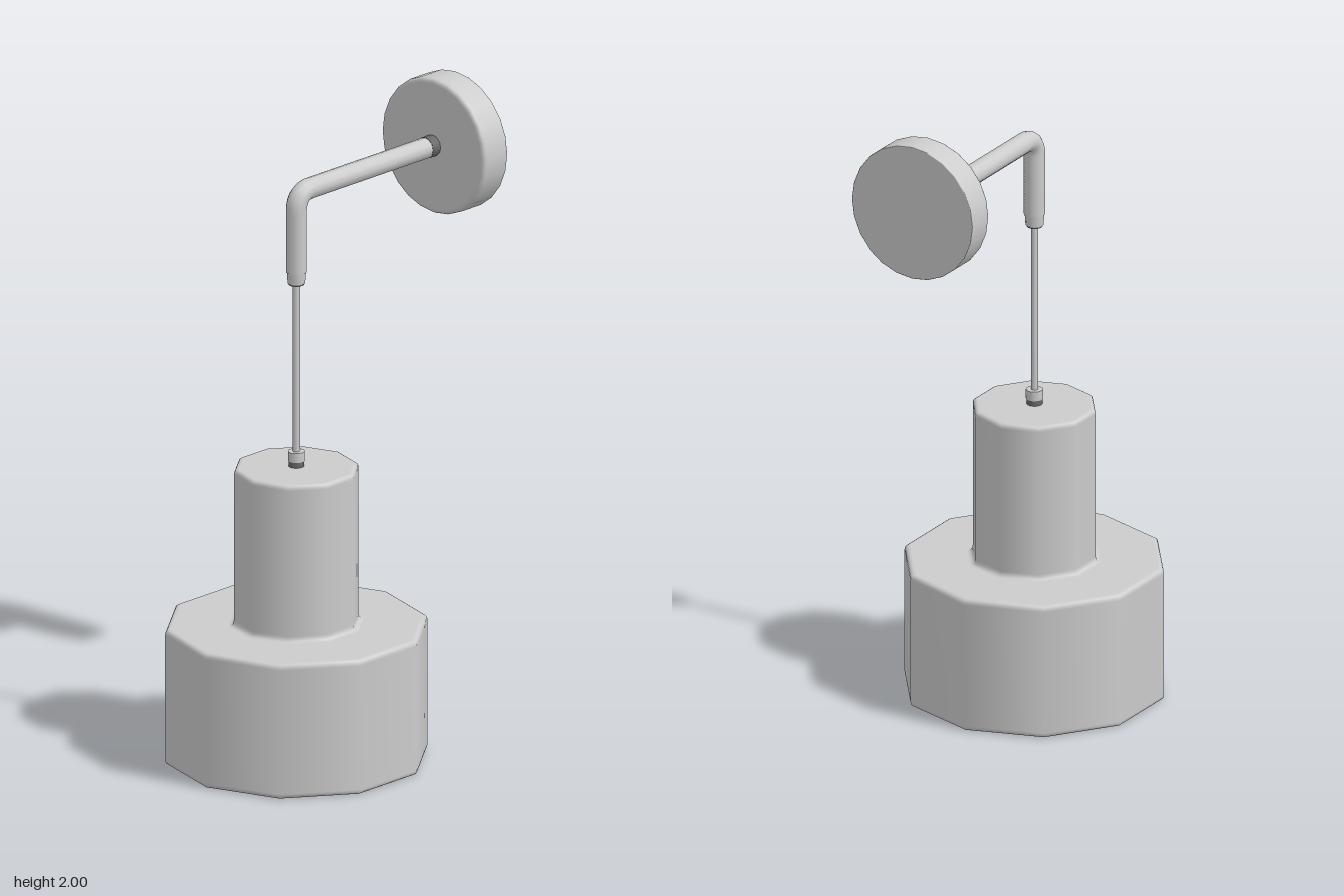
import * as THREE from 'three';

const V = (x, y) => new THREE.Vector2(x, y);

// Profile from [radius, height, cornerRadius] points, rounding the marked corners
function profile(pts) {
  const out = [];
  pts.forEach(([x, y, r], i) => {
    const p = V(x, y);
    if (!r) { out.push(p); return; }
    const toward = (q) => V(q[0], q[1]).sub(p).setLength(r).add(p);
    const curve = new THREE.QuadraticBezierCurve(toward(pts[i - 1]), p, toward(pts[i + 1]));
    out.push(...curve.getPoints(4));
  });
  return out;
}

export function createModel() {
  const model = new THREE.Group();
  const grey = new THREE.MeshStandardMaterial({ color: 0xcccccc });
  grey.name = 'lightGrey';
  const dark = new THREE.MeshStandardMaterial({ color: 0x686868 });
  dark.name = 'darkGrey';
  const amber = new THREE.MeshStandardMaterial({ color: 0xd8a878 });
  amber.name = 'amberGlass';

  const add = (name, geometry, material, x = 0, y = 0, z = 0) => {
    const mesh = new THREE.Mesh(geometry, material);
    mesh.name = name;
    mesh.position.set(x, y, z);
    model.add(mesh);
    return mesh;
  };
  const lathe = (pts, sides) => new THREE.LatheGeometry(profile(pts), sides);
  const LZ = 0.148;    // depth of the hanging lamp axis
  const ARM_Y = 1.79;  // height of the wall arm

  // Round wall plate
  const plate = add('wallPlate', lathe([
    [0, 0], [0.213, 0, 0.003], [0.213, 0.1, 0.016], [0, 0.1],
  ], 24), grey, 0, ARM_Y - 0.003, -0.548);
  plate.rotation.x = Math.PI / 2;

  // Bent arm from plate to cord
  const path = new THREE.CurvePath();
  const P = (y, z) => new THREE.Vector3(0, y, z);
  path.add(new THREE.LineCurve3(P(ARM_Y, -0.46), P(ARM_Y, LZ - 0.06)));
  path.add(new THREE.QuadraticBezierCurve3(P(ARM_Y, LZ - 0.06), P(ARM_Y, LZ), P(ARM_Y - 0.06, LZ)));
  path.add(new THREE.LineCurve3(P(ARM_Y - 0.06, LZ), P(1.54, LZ)));
  add('arm', new THREE.TubeGeometry(path, 90, 0.032, 12), grey);

  const armCollar = add('armCollar', new THREE.CylinderGeometry(0.033, 0.033, 0.035, 12), dark, 0, ARM_Y, -0.433);
  armCollar.rotation.x = Math.PI / 2;

  // Cord with its end fittings
  add('armTip', new THREE.CylinderGeometry(0.03, 0.027, 0.04, 12), grey, 0, 1.525, LZ);
  add('armTipSeal', new THREE.CylinderGeometry(0.024, 0.024, 0.006, 12), dark, 0, 1.503, LZ);
  add('cord', new THREE.CylinderGeometry(0.011, 0.011, 0.57, 10), grey, 0, 1.235, LZ);
  add('cordCap', new THREE.CylinderGeometry(0.026, 0.026, 0.03, 12), grey, 0, 0.957, LZ);
  add('cordCollar', new THREE.CylinderGeometry(0.024, 0.024, 0.022, 12), dark, 0, 0.932, LZ);

  // Ten-sided stepped shade
  add('shade', lathe([
    [0.36, 0.004], [0.4, 0.004, 0.016], [0.4, 0.43, 0.018], [0.19, 0.43, 0.018],
    [0.19, 0.925, 0.016], [0, 0.925],
  ], 10), grey, 0, 0, LZ);

  // Inner lining, facing inward
  add('shadeLining', lathe([
    [0, 0.9], [0.165, 0.9, 0.01], [0.165, 0.41, 0.01], [0.36, 0.41, 0.015], [0.36, 0.004],
  ], 10), dark, 0, 0, LZ);

  // Globe bulb with a grey cap at the bottom
  const capAngle = 0.77;
  add('bulbGlass', new THREE.SphereGeometry(0.225, 32, 20, 0, Math.PI * 2, 0, Math.PI - capAngle), amber, 0, 0.25, LZ);
  add('bulbCap', new THREE.SphereGeometry(0.225, 32, 8, 0, Math.PI * 2, Math.PI - capAngle, capAngle), grey, 0, 0.25, LZ);
  add('bulbSocket', new THREE.CylinderGeometry(0.06, 0.06, 0.45, 16), grey, 0, 0.68, LZ);

  return model;
}
